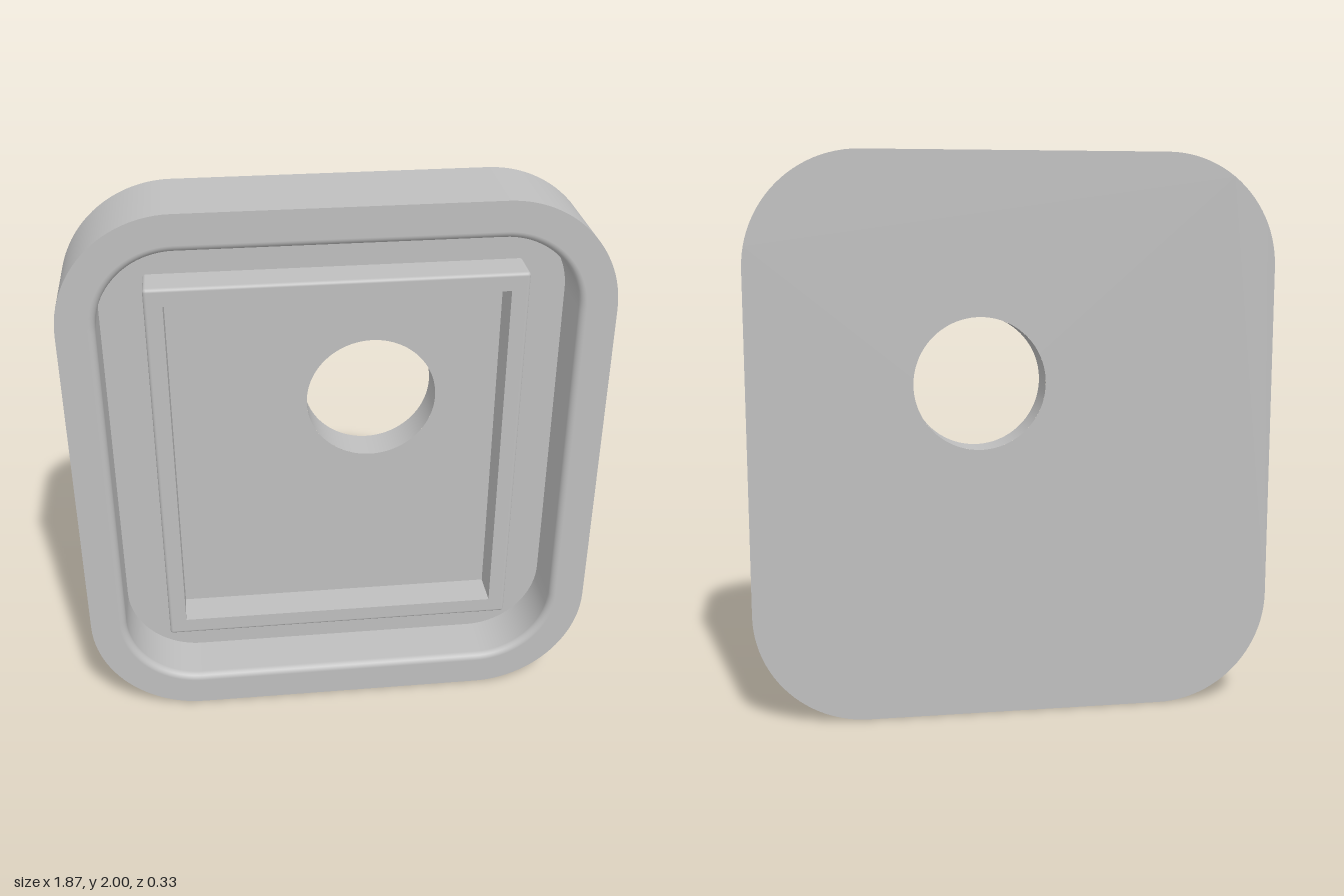
import * as THREE from 'three';

const CORNER_STEPS = 24;
const HALF_W = 0.935, HALF_H = 1, CORNER = 0.4, HALF_D = 0.163; // outer block
const FLOOR = -0.033;                                            // recess floor depth
const WALL = 0.13, LIP = 0.025;                                  // rim width and its rounded lip
const HOLE = { x: 0.13, y: 0.2, r: 0.233 };

// Counter-clockwise rounded rectangle with the outward direction at each point
function loop(hw, hh, r) {
  const pts = [];
  [[1, 1], [-1, 1], [-1, -1], [1, -1]].forEach(([sx, sy], q) => {
    for (let i = 0; i <= CORNER_STEPS; i++) {
      const a = (q + i / CORNER_STEPS) * Math.PI / 2;
      const nx = Math.cos(a), ny = Math.sin(a);
      pts.push({ x: sx * (hw - r) + r * nx, y: sy * (hh - r) + r * ny, nx, ny });
    }
  });
  return pts;
}

// Sweep a profile around a rounded rectangle; each row is [inset, z, outward normal, z normal]
function sweep(hw, hh, r, profile) {
  const position = [], normal = [], index = [];
  let n = 0;
  for (const [inset, z, out, nz] of profile) {
    const pts = loop(hw - inset, hh - inset, Math.max(r - inset, 0));
    n = pts.length;
    for (const p of pts) {
      position.push(p.x, p.y, z);
      normal.push(p.nx * out, p.ny * out, nz);
    }
  }
  for (let i = 0; i < profile.length - 1; i++) {
    for (let j = 0; j < n; j++) {
      const a = i * n + j, b = i * n + (j + 1) % n;
      index.push(a, b, b + n, a, b + n, a + n);
    }
  }
  const g = new THREE.BufferGeometry();
  g.setAttribute('position', new THREE.Float32BufferAttribute(position, 3));
  g.setAttribute('normal', new THREE.Float32BufferAttribute(normal, 3));
  g.setIndex(index);
  return g;
}

// Quarter-round rows; fn maps an angle to a profile row
const round = (fn) => Array.from({ length: 7 }, (_, i) => fn(i / 6 * Math.PI / 2));

// Flat rounded plate with the round hole cut out
function face(inset, holeX) {
  const pts = loop(HALF_W - inset, HALF_H - inset, CORNER - inset);
  const shape = new THREE.Shape(pts.map((p) => new THREE.Vector2(p.x, p.y)));
  const hole = new THREE.Path();
  hole.absarc(holeX, HOLE.y, HOLE.r, 0, Math.PI * 2, true);
  shape.holes.push(hole);
  return new THREE.ShapeGeometry(shape, CORNER_STEPS * 4);
}

export function createModel() {
  const group = new THREE.Group();
  const grey = new THREE.MeshStandardMaterial({ color: 0xbfbfbf });
  grey.name = 'light grey';
  const add = (name, geometry, x = 0, y = 0) => {
    const mesh = new THREE.Mesh(geometry, grey);
    mesh.name = name;
    mesh.position.set(x, 1 + y, 0);
    group.add(mesh);
  };

  // Outer side, front rim, rounded lip and recess wall
  add('rim', sweep(HALF_W, HALF_H, CORNER, [
    [0, -HALF_D, 1, 0], [0, HALF_D, 1, 0],
    [0, HALF_D, 0, 1],
    ...round((t) => [WALL - LIP + LIP * Math.sin(t), HALF_D - LIP + LIP * Math.cos(t), -Math.sin(t), Math.cos(t)]),
    [WALL, FLOOR, -1, 0],
  ]));

  // Recess floor and back face
  add('recessFloor', face(WALL, HOLE.x).translate(0, 0, FLOOR));
  add('backFace', face(0, -HOLE.x).rotateY(Math.PI).translate(0, 0, -HALF_D));

  // Wall of the round through-hole
  add('holeWall', sweep(HOLE.r, HOLE.r, HOLE.r, [
    [0, FLOOR, -1, 0], [0, -HALF_D, -1, 0],
  ]), HOLE.x, HOLE.y);

  // Raised rectangular frame with softened outer edges
  const top = 0.095, f = 0.012, width = 0.063;
  add('raisedFrame', sweep(0.648, 0.715, f, [
    [0, FLOOR, 1, 0],
    ...round((t) => [f - f * Math.cos(t), top - f + f * Math.sin(t), Math.cos(t), Math.sin(t)]),
    [width, top, 0, 1],
    [width, top, -1, 0], [width, FLOOR, -1, 0],
  ]), 0, 0.003);

  return group;
}
